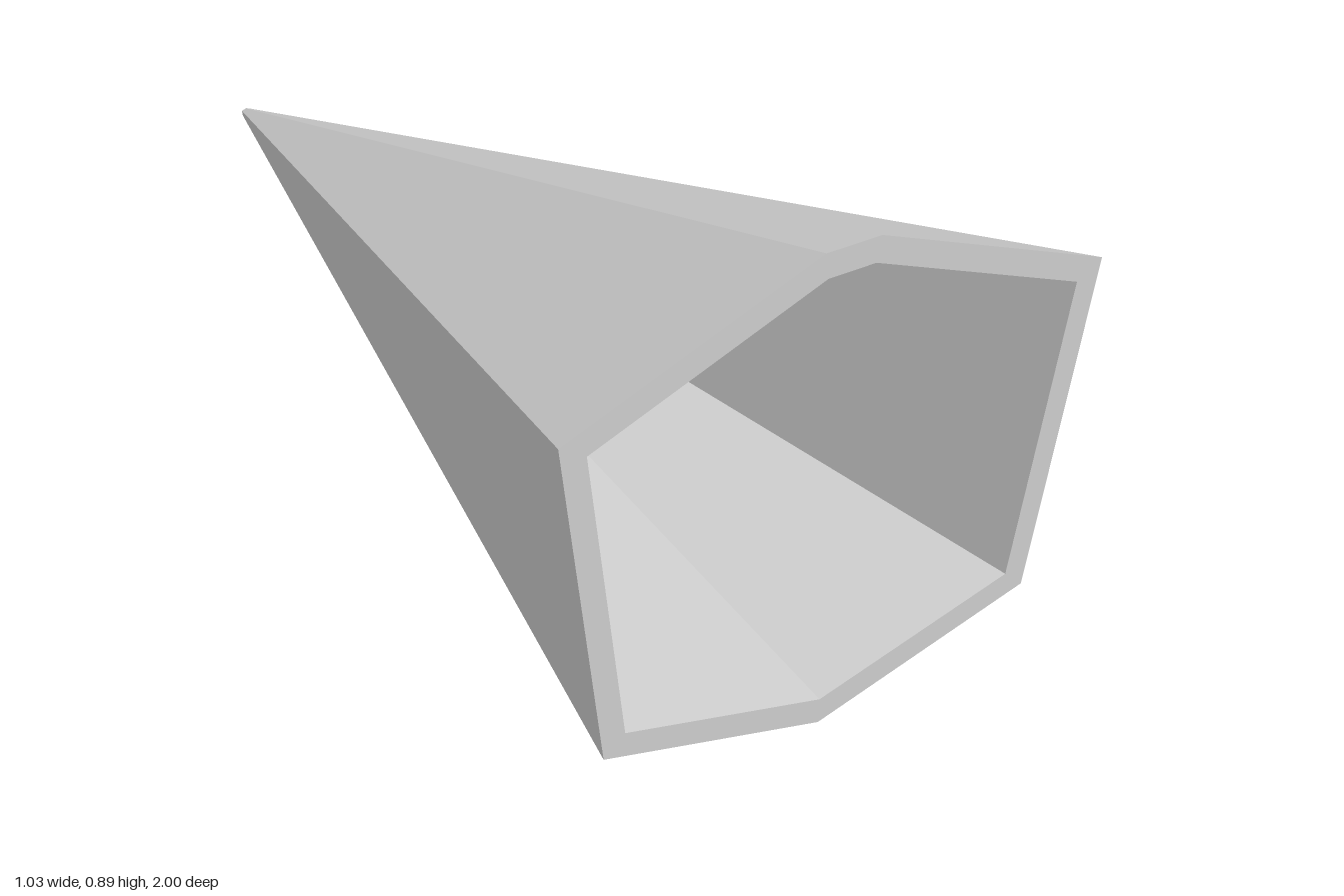
import * as THREE from 'three';

// Half outlines (x >= 0) from bottom to top, mirrored into closed seven-sided rings
function ring(half, z) {
  const right = half.map(([x, y]) => new THREE.Vector3(x, y, z));
  const left = half.filter(([x]) => x > 0).reverse().map(([x, y]) => new THREE.Vector3(-x, y, z));
  return [...right, ...left];
}

// Faceted wall between two rings; front side faces outward when going from back to front
function wall(from, to) {
  const tris = [];
  from.forEach((p, i) => {
    const j = (i + 1) % from.length;
    tris.push(to[i], p, from[j], to[i], from[j], to[j]);
  });
  return tris;
}

// Flat cap closing a ring, facing forward or backward
function cap(r, forward) {
  const tris = [];
  for (let i = 1; i < r.length - 1; i++) {
    tris.push(r[0], ...(forward ? [r[i], r[i + 1]] : [r[i + 1], r[i]]));
  }
  return tris;
}

export function createModel() {
  const group = new THREE.Group();
  const grey = new THREE.MeshStandardMaterial({ color: 0xcccccc });
  grey.name = 'light grey';

  const add = (name, points) => {
    const geometry = new THREE.BufferGeometry().setFromPoints(points);
    geometry.computeVertexNormals();
    const mesh = new THREE.Mesh(geometry, grey);
    mesh.name = name;
    group.add(mesh);
  };

  const outline = [[0, 0.001], [0.423, 0.113], [0.515, 0.716], [0.052, 0.893]];
  const tipScale = 0.02, tipY = 0.26;
  const outerFront = ring(outline, 1);
  const tip = ring(outline.map(([x, y]) => [x * tipScale, tipY + (y - tipY) * tipScale]), -1);
  const innerFront = ring([[0, 0.048], [0.384, 0.148], [0.466, 0.686], [0.045, 0.848]], 1);
  const innerBack = ring([[0, 0.145], [0.225, 0.203], [0.273, 0.516], [0.025, 0.612]], 0.25);

  // Long tapering shell, closed at its small rear end
  add('outerShell', [...cap(tip, false), ...wall(tip, outerFront)]);
  // Flat front rim
  add('frontRim', wall(outerFront, innerFront));
  // Tapered recess with a flat back
  add('cavityWalls', wall(innerFront, innerBack));
  add('cavityBack', cap(innerBack, true));
  return group;
}
